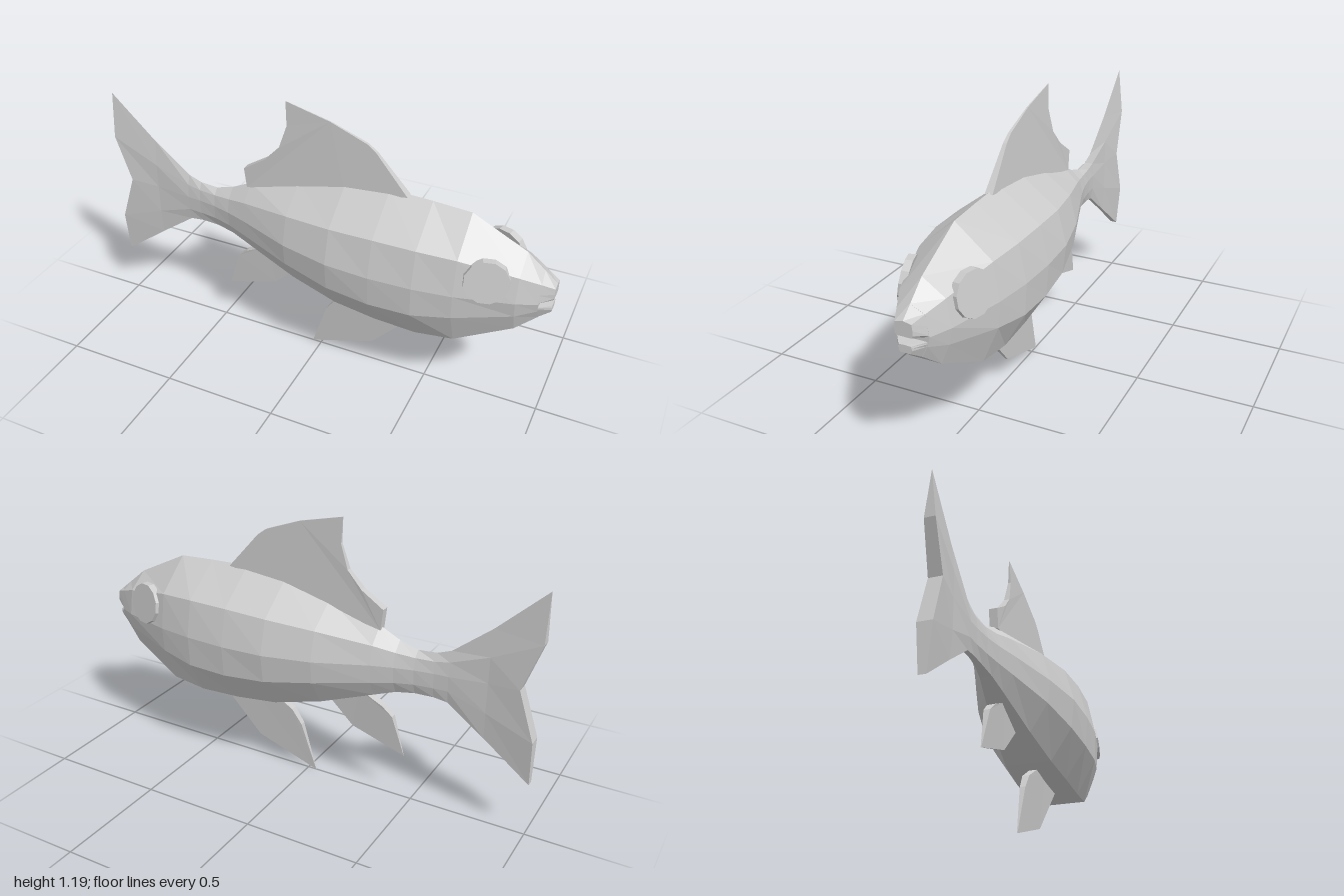
import * as THREE from 'three';

const material = new THREE.MeshStandardMaterial({ color: 0xcccccc, flatShading: true, side: THREE.DoubleSide });

// Nine-sided ring: a ridge on top, then four mirrored points (y, half width) down to a flat belly.
function ring([x, top, ...side], notch = 0) {
  const left = [];
  for (let i = 0; i < 8; i += 2) left.push([x + (i === 2 ? notch : 0), side[i], side[i + 1]]);
  const right = left.map(([px, y, z]) => [px, y, -z]).reverse();
  return [[x, top, 0], ...left, ...right];
}

// Skin the rings along +x and close both ends.
function loft(rings) {
  const pos = [];
  const quad = (a, b, c, d) => pos.push(...a, ...b, ...c, ...a, ...c, ...d);
  for (let i = 0; i < rings.length - 1; i++) {
    for (let j = 0; j < 9; j++) {
      const k = (j + 1) % 9;
      quad(rings[i][j], rings[i][k], rings[i + 1][k], rings[i + 1][j]);
    }
  }
  const cap = (r, front) => {
    const p = front ? r : [r[0], ...r.slice(1).reverse()];
    pos.push(...p[0], ...p[1], ...p[8]);
    for (let j = 1; j < 4; j++) quad(p[j], p[j + 1], p[8 - j], p[9 - j]);
  };
  cap(rings[0], false);
  cap(rings[rings.length - 1], true);
  const geo = new THREE.BufferGeometry();
  geo.setAttribute('position', new THREE.Float32BufferAttribute(pos, 3));
  geo.computeVertexNormals();
  return geo;
}

// Thin blade in the middle plane, thick at the root and sharp at the tip.
function fin(points, rootY, tipY) {
  const shape = new THREE.Shape(points.map(([x, y]) => new THREE.Vector2(x, y)));
  const geo = new THREE.ExtrudeGeometry(shape, { depth: 1, bevelEnabled: false });
  const p = geo.attributes.position;
  for (let i = 0; i < p.count; i++) {
    const t = THREE.MathUtils.clamp((p.getY(i) - rootY) / (tipY - rootY), 0, 0.93);
    p.setZ(i, (p.getZ(i) - 0.5) * 0.036 * (1 - t));
  }
  geo.computeVertexNormals();
  return geo;
}

export function createModel() {
  const group = new THREE.Group();
  const add = (name, geo) => {
    const mesh = new THREE.Mesh(geo, material);
    mesh.name = name;
    group.add(mesh);
    return mesh;
  };

  // Tail fin: x, top, then y and half width of shoulder, flank, lower flank, belly
  const tailRoot = [-0.64, 0.735, 0.69, 0.014, 0.63, 0.02, 0.565, 0.018, 0.512, 0.01];
  add('tailFin', loft([
    ring([-1, 1.055, 0.85, 0.022, 0.65, 0.028, 0.44, 0.03, 0.245, 0.015], 0.07),
    ring([-0.8, 0.865, 0.75, 0.014, 0.64, 0.015, 0.51, 0.016, 0.395, 0.01]),
    ring(tailRoot),
  ]));

  // Body from tail root to mouth
  add('body', loft([
    tailRoot,
    [-0.58, 0.712, 0.68, 0.017, 0.63, 0.024, 0.565, 0.022, 0.52, 0.011],
    [-0.5, 0.706, 0.68, 0.026, 0.63, 0.036, 0.565, 0.032, 0.519, 0.015],
    [-0.42, 0.73, 0.69, 0.042, 0.63, 0.056, 0.56, 0.05, 0.508, 0.025],
    [-0.33, 0.775, 0.71, 0.068, 0.63, 0.085, 0.55, 0.078, 0.478, 0.04],
    [-0.1, 0.84, 0.745, 0.13, 0.62, 0.162, 0.52, 0.15, 0.4, 0.075],
    [0.11, 0.892, 0.765, 0.168, 0.617, 0.207, 0.49, 0.192, 0.35, 0.1],
    [0.3, 0.91, 0.775, 0.178, 0.615, 0.215, 0.478, 0.205, 0.333, 0.112],
    [0.48, 0.904, 0.775, 0.175, 0.615, 0.207, 0.48, 0.2, 0.326, 0.114],
    [0.64, 0.895, 0.765, 0.153, 0.61, 0.178, 0.5, 0.17, 0.342, 0.105],
    [0.87, 0.78, 0.715, 0.092, 0.605, 0.112, 0.535, 0.098, 0.45, 0.064],
    [0.95, 0.713, 0.685, 0.056, 0.6, 0.07, 0.56, 0.06, 0.515, 0.038],
  ].map((s) => ring(s))));

  // Parted jaws
  add('upperJaw', loft([
    ring([0.945, 0.717, 0.687, 0.058, 0.64, 0.066, 0.604, 0.071, 0.592, 0.05]),
    ring([1, 0.672, 0.665, 0.033, 0.642, 0.036, 0.622, 0.036, 0.612, 0.03]),
  ]));
  add('lowerJaw', loft([
    ring([0.945, 0.58, 0.58, 0.065, 0.572, 0.065, 0.56, 0.06, 0.512, 0.038]),
    ring([0.997, 0.578, 0.577, 0.025, 0.57, 0.027, 0.56, 0.027, 0.547, 0.021]),
  ]));

  // Fins on the centre line
  add('dorsalFin', fin([
    [0.38, 0.9], [0.24, 1.06], [0.2, 1.09], [0.04, 1.15], [-0.155, 1.197], [-0.15, 1.09],
    [-0.185, 0.985], [-0.25, 0.915], [-0.35, 0.85], [-0.34, 0.76], [-0.1, 0.81], [0.11, 0.86],
  ], 0.88, 1.2));
  add('pelvicFin', fin([
    [0.46, 0.34], [0.25, 0.105], [-0.04, 0.003], [0.03, 0.22], [0.075, 0.285], [0.2, 0.36], [0.3, 0.36],
  ], 0.33, 0));
  add('analFin', fin([
    [-0.09, 0.42], [-0.22, 0.285], [-0.46, 0.205], [-0.405, 0.38], [-0.36, 0.42], [-0.25, 0.475],
  ], 0.44, 0.2));

  // Flat round eyes lying on the cheeks
  for (const side of [1, -1]) {
    const eye = add(side > 0 ? 'rightEye' : 'leftEye', new THREE.CylinderGeometry(0.09, 0.094, 0.03, 12));
    eye.position.set(0.755, 0.69, side * 0.131);
    eye.quaternion.setFromUnitVectors(new THREE.Vector3(0, 1, 0), new THREE.Vector3(0.3, 0.17, side).normalize());
  }
  return group;
}
